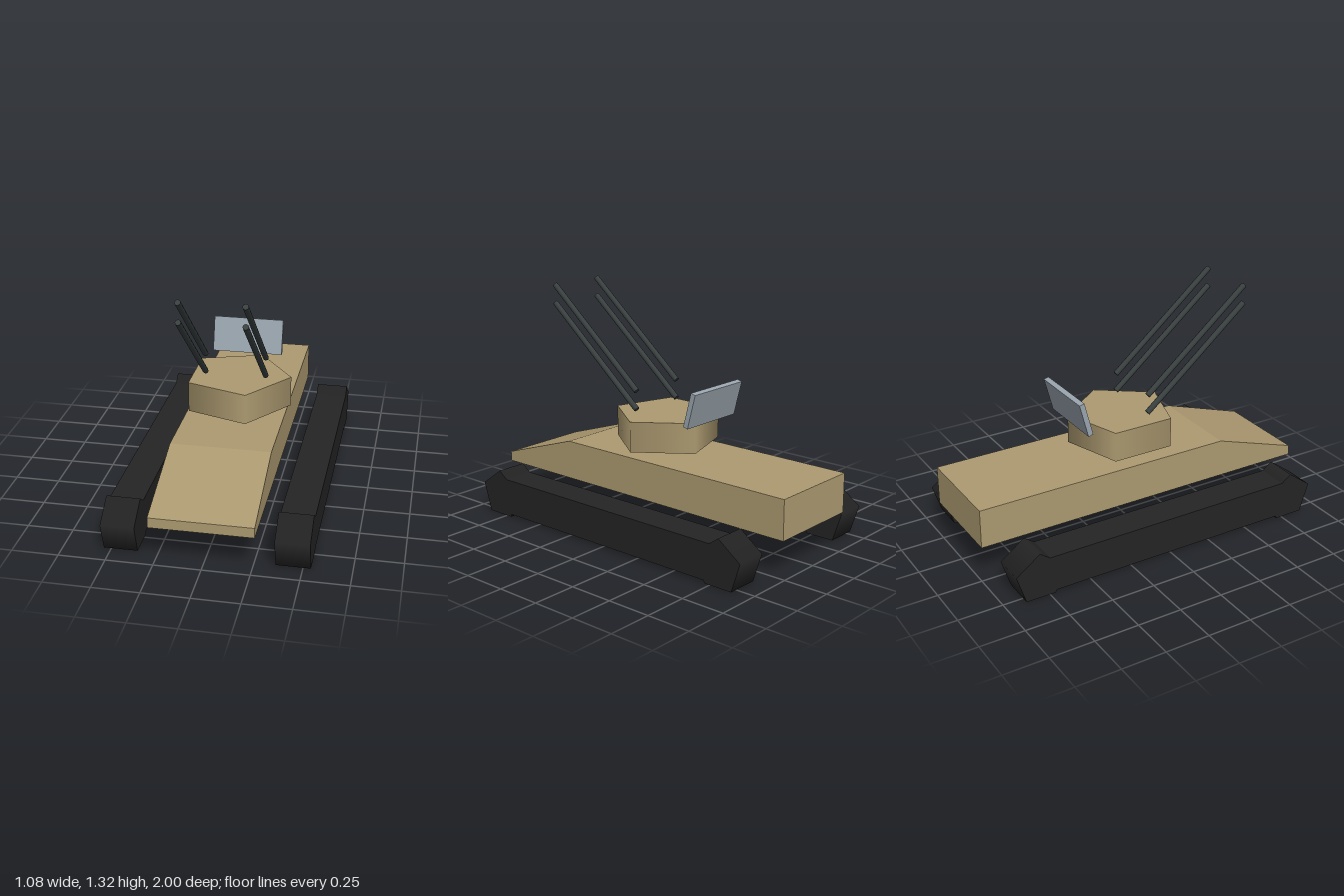
import * as THREE from 'three';

const material = (name, color) => {
  const m = new THREE.MeshStandardMaterial({ color });
  m.name = name;
  return m;
};

export function createModel() {
  const sand = material('sand paint', 0xac9a70);
  const rubber = material('track black', 0x242424);
  const steel = material('gun steel', 0x3a4040);
  const grey = material('shield grey', 0x9aa5ae);

  const model = new THREE.Group();
  model.name = 'antiAircraftVehicle';
  const add = (parent, name, geometry, mat, x = 0, y = 0, z = 0) => {
    const mesh = new THREE.Mesh(geometry, mat);
    mesh.name = name;
    mesh.position.set(x, y, z);
    parent.add(mesh);
    return mesh;
  };

  // Hull: side profile (z, y) with a sloping nose, extruded across x
  const profile = new THREE.Shape([
    [-1, 0.216], [1, 0.216], [1, 0.272], [0.5, 0.436], [-1, 0.436],
  ].map(([z, y]) => new THREE.Vector2(z, y)));
  const hullWidth = 0.544;
  const hull = new THREE.ExtrudeGeometry(profile, { depth: hullWidth, bevelEnabled: false });
  hull.translate(0, 0, -hullWidth / 2).rotateY(-Math.PI / 2);
  add(model, 'hull', hull, sand);

  // Five-sided turret with one corner towards +x
  add(model, 'turret', new THREE.CylinderGeometry(0.3, 0.3, 0.17, 5, 1, false, Math.PI / 2),
    sand, 0, 0.564, 0);

  // Tracks: a long beam with a five-sided wheel at each end
  const beam = new THREE.BoxGeometry(0.18, 0.204, 1.6);
  const wheel = new THREE.CylinderGeometry(0.144, 0.144, 0.18, 5, 1, false, Math.PI / 2);
  wheel.rotateZ(Math.PI / 2);
  // Guns: two stacked barrels on each side, raised 40 degrees
  const barrel = new THREE.CylinderGeometry(0.016, 0.016, 0.81, 8);
  barrel.rotateX(THREE.MathUtils.degToRad(50));

  for (const [side, s] of [['left', 1], ['right', -1]]) {
    const track = new THREE.Group();
    track.name = side + 'Track';
    track.position.x = 0.45 * s;
    model.add(track);
    add(track, 'trackBeam', beam, rubber, 0, 0.117, 0);
    add(track, 'frontWheel', wheel, rubber, 0, 0.1165, 0.8);
    add(track, 'rearWheel', wheel, rubber, 0, 0.1165, -0.8);

    const guns = new THREE.Group();
    guns.name = side + 'Guns';
    guns.position.x = 0.168 * s;
    model.add(guns);
    add(guns, 'lowerBarrel', barrel, steel, 0, 0.94, 0.38);
    add(guns, 'upperBarrel', barrel, steel, 0, 1.044, 0.38);
  }

  // Shield plate leaning back behind the turret
  const shield = add(model, 'shield', new THREE.BoxGeometry(0.4, 0.2, 0.03), grey, 0, 0.748, -0.33);
  shield.rotation.x = THREE.MathUtils.degToRad(-15);

  return model;
}
